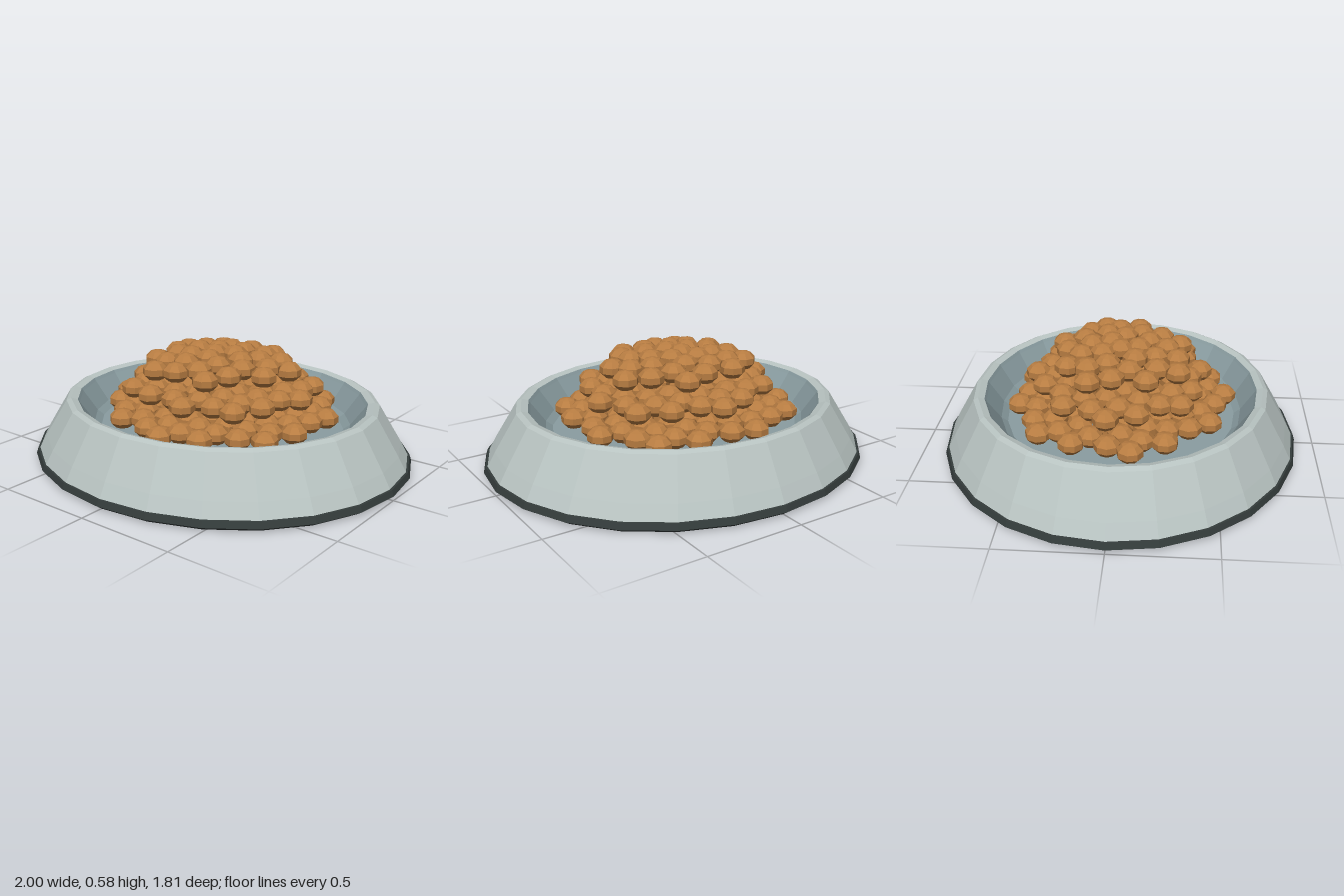
import * as THREE from 'three';
import { mergeGeometries } from 'three/addons/utils/BufferGeometryUtils.js';

const DEPTH = 0.905; // the bowl is slightly oval

function material(name, color) {
  const m = new THREE.MeshStandardMaterial({ color });
  m.name = name;
  return m;
}

// Faceted copy of a geometry, squeezed to the oval plan
function faceted(geometry) {
  const g = geometry.toNonIndexed();
  g.computeVertexNormals();
  return g;
}

function ring(name, profile, mat) {
  const points = profile.map(([r, y]) => new THREE.Vector2(r, y));
  const geometry = new THREE.LatheGeometry(points, 24).scale(1, 1, DEPTH);
  const mesh = new THREE.Mesh(faceted(geometry), mat);
  mesh.name = name;
  return mesh;
}

// One layer of pellets in a sunflower spiral, domed towards the middle
function pelletLayer(name, radius, y, dome, turn, mat) {
  const spacing = 0.065;
  const count = Math.round((radius / spacing) ** 2);
  const pellets = [];
  for (let i = 0; i < count; i++) {
    const r = radius * Math.sqrt((i + 0.3) / (count - 0.7));
    const a = i * 2.39996 + turn;
    const lift = dome * (1 - (r / radius) ** 2);
    const g = new THREE.SphereGeometry(0.067, 8, 5);
    g.scale(1, 0.76, 1).rotateY(a);
    g.translate(r * Math.cos(a), y + lift, r * Math.sin(a) * DEPTH);
    pellets.push(faceted(g));
  }
  const mesh = new THREE.Mesh(mergeGeometries(pellets), mat);
  mesh.name = name;
  return mesh;
}

export function createModel() {
  const shell = material('pale grey shell', 0xb8c3c1);
  const lining = material('blue grey lining', 0x8a9da1);
  const rubber = material('dark rubber', 0x343c3b);
  const food = material('brown food', 0xb87d42);

  const model = new THREE.Group();
  model.name = 'foodBowl';

  // Bowl
  model.add(
    ring('rubberBase', [[0, 0], [0.97, 0], [1, 0.02], [0.99, 0.05], [0.96, 0.052]], rubber),
    ring('outerShell', [[0.98, 0.05], [0.94, 0.12], [0.825, 0.303], [0.8, 0.315], [0.765, 0.305]], shell),
    ring('innerLining', [[0.765, 0.305], [0.755, 0.29], [0.68, 0.19], [0.645, 0.165], [0, 0.165]], lining)
  );

  // Heap of food
  const heap = new THREE.Group();
  heap.name = 'foodHeap';
  heap.add(
    pelletLayer('lowerPellets', 0.585, 0.25, 0.02, 0.4, food),
    pelletLayer('middlePellets', 0.48, 0.365, 0.02, 1.7, food),
    pelletLayer('topPellets', 0.37, 0.475, 0.05, 3.1, food)
  );
  model.add(heap);
  return model;
}
